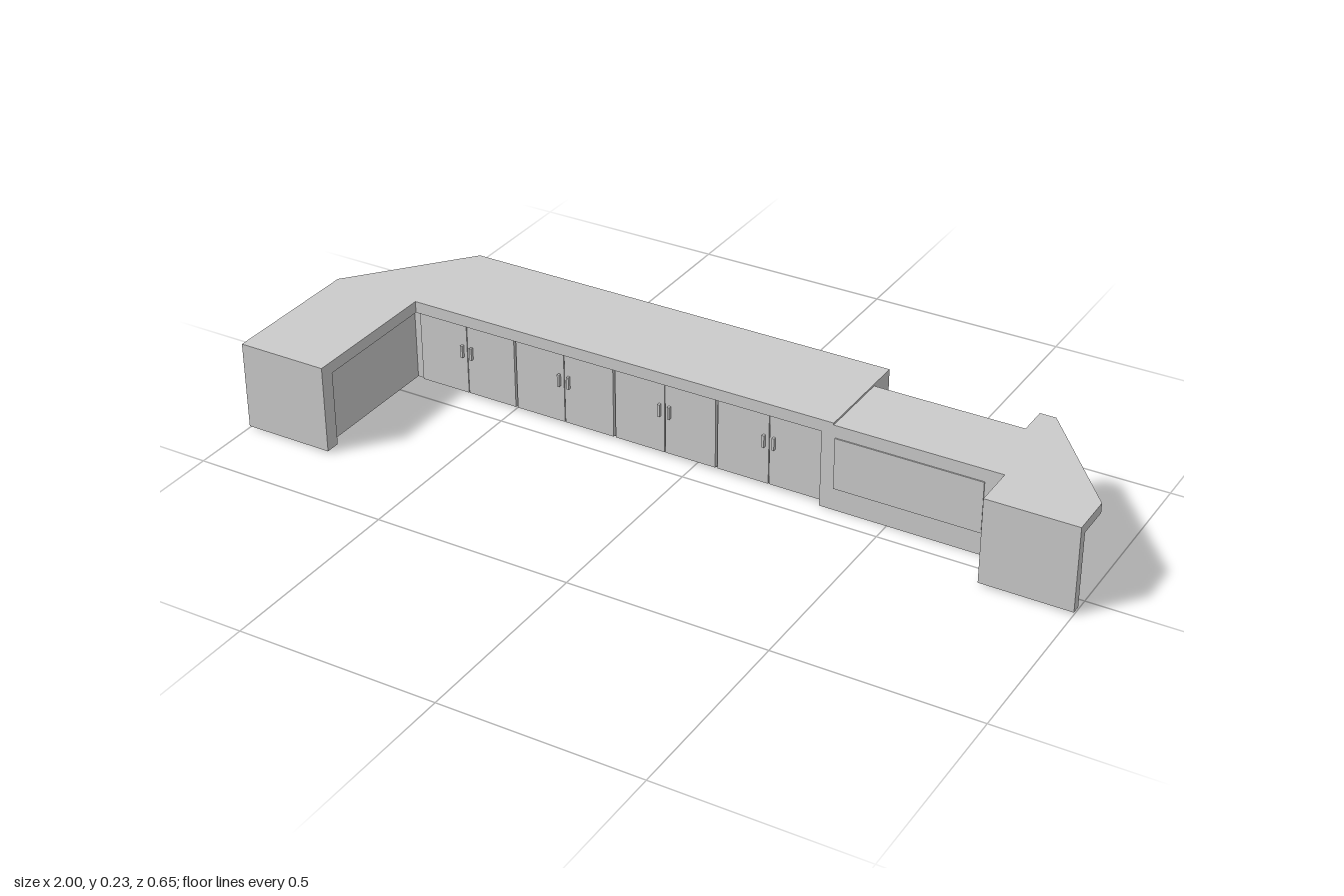
import * as THREE from 'three';

export function createModel() {
  const model = new THREE.Group();
  const mat = new THREE.MeshStandardMaterial({ color: 0xcccccc, flatShading: true });

  const add = (name, geo) => {
    const mesh = new THREE.Mesh(geo, mat);
    mesh.name = name;
    model.add(mesh);
    return mesh;
  };
  // Box given by its limits on each axis
  const box = (name, x0, x1, y0, y1, z0, z1) =>
    add(name, new THREE.BoxGeometry(x1 - x0, y1 - y0, z1 - z0)
      .translate((x0 + x1) / 2, (y0 + y1) / 2, (z0 + z1) / 2));
  // Plan outline of [x, z] points raised from y0 to y1
  const plan = (name, pts, y0, y1) => {
    const shape = new THREE.Shape(pts.map(([x, z]) => new THREE.Vector2(x, -z)));
    const geo = new THREE.ExtrudeGeometry(shape, { depth: y1 - y0, bevelEnabled: false });
    return add(name, geo.rotateX(-Math.PI / 2).translate(0, y0, 0));
  };

  // Countertops: long run with its return, and the slightly lower right end
  plan('mainCountertop', [[-1, 0.325], [-1, -0.05], [-0.77, -0.328], [0.36, -0.328],
    [0.36, -0.05], [-0.77, -0.05], [-0.77, 0.325]], 0.197, 0.227);
  plan('endCountertop', [[0.36, -0.05], [0.36, -0.25], [0.735, -0.25], [0.735, -0.328],
    [0.775, -0.328], [1, -0.05], [1, 0.06], [0.775, 0.06], [0.775, -0.05]], 0.197, 0.222);

  // Recessed bodies under the overhanging tops
  plan('mainBody', [[-0.96, 0.29], [-0.96, -0.06], [-0.755, -0.276], [0.335, -0.276],
    [0.335, -0.072], [-0.79, -0.072], [-0.79, 0.29]], 0.004, 0.198);
  plan('endBody', [[0.774, 0.04], [0.774, -0.28], [0.96, -0.05], [0.96, 0.04]], 0.004, 0.198);

  // Full-height end panels of both returns
  box('longReturnEndPanel', -1, -0.77, 0.004, 0.197, 0.287, 0.325);
  box('shortReturnEndPanel', 0.775, 1, 0.006, 0.197, 0.037, 0.06);

  // Staff side: four double-door cabinets with bar handles
  const cabinet = 0.275;
  for (let i = 0; i < 4; i++) {
    const x0 = -0.77 + i * cabinet, mid = x0 + cabinet / 2;
    for (const side of [-1, 1]) {
      const a = mid + side * 0.001, b = mid + side * (cabinet / 2 - 0.003);
      box('cabinetDoor', Math.min(a, b), Math.max(a, b), 0.008, 0.193, -0.073, -0.062);
      const h = mid + side * 0.013;
      box('doorHandle', h - 0.003, h + 0.003, 0.105, 0.137, -0.062, -0.054);
    }
  }

  // Customer side: vertical slats
  const slats = 24, pitch = 1.08 / slats;
  for (let i = 0; i < slats; i++) {
    const x = -0.75 + i * pitch;
    box('backSlat', x + 0.004, x + pitch - 0.004, 0.004, 0.197, -0.284, -0.275);
  }

  // Foot rail in three lengths on small brackets
  for (let i = 0; i < 3; i++) {
    const x0 = -0.75 + i * 0.272;
    box('footRail', x0 + 0.004, x0 + 0.268, 0.055, 0.066, -0.315, -0.299);
    for (const x of [x0 + 0.03, x0 + 0.242])
      box('railBracket', x - 0.005, x + 0.005, 0.057, 0.064, -0.3, -0.28);
  }

  // Display case, open at the back and top
  box('caseBase', 0.33, 0.775, 0, 0.055, -0.328, -0.05);
  box('caseCheek', 0.33, 0.36, 0.055, 0.197, -0.328, -0.05);
  box('caseCheekTop', 0.335, 0.36, 0.19, 0.222, -0.327, -0.25);
  box('caseCheek', 0.735, 0.775, 0.055, 0.197, -0.328, -0.05);
  box('caseLip', 0.36, 0.735, 0.055, 0.064, -0.328, -0.318);
  box('caseShelf', 0.36, 0.735, 0.12, 0.127, -0.275, -0.17);
  // Sloped lining behind the case, drawn as a side profile [z, y]
  const lining = new THREE.Shape([[-0.05, 0.055], [-0.13, 0.055], [-0.25, 0.197], [-0.05, 0.197]]
    .map(([z, y]) => new THREE.Vector2(-z, y)));
  add('slopedLining', new THREE.ExtrudeGeometry(lining, { depth: 0.375, bevelEnabled: false })
    .rotateY(Math.PI / 2).translate(0.36, 0, 0));
  // Thin front panel on the staff side of the case
  box('caseFrontPanel', 0.365, 0.73, 0.058, 0.19, -0.052, -0.047);

  return model;
}
